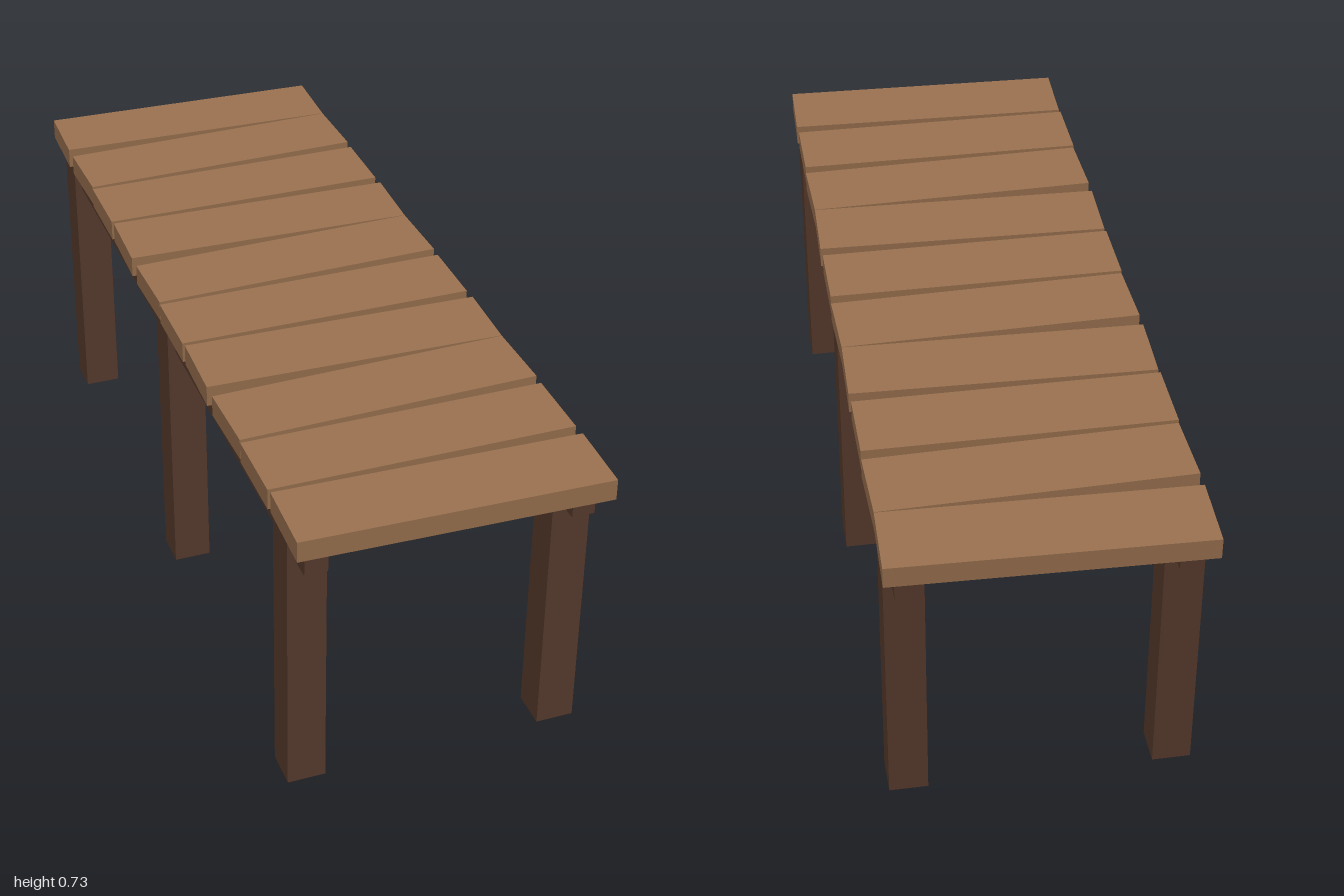
import * as THREE from 'three';

export function createModel() {
  const model = new THREE.Group();
  model.name = 'slattedBench';

  const plankWood = new THREE.MeshStandardMaterial({ color: 0x98704e });
  plankWood.name = 'light plank wood';
  const frameWood = new THREE.MeshStandardMaterial({ color: 0x573a2c });
  frameWood.name = 'dark frame wood';

  const addBox = (name, material, [w, h, d], [x, y, z], turn = 0) => {
    const mesh = new THREE.Mesh(new THREE.BoxGeometry(w, h, d), material);
    mesh.name = name;
    mesh.position.set(x, y, z);
    mesh.rotation.y = turn;
    model.add(mesh);
  };

  // Ten planks, laid slightly askew in a repeating pattern
  const turns = [-0.027, 0.027, 0];
  for (let i = 0; i < 10; i++) {
    addBox(`plank${i + 1}`, plankWood, [0.7, 0.05, 0.18], [0, 0.702, -0.9 + i * 0.2], turns[i % 3]);
  }

  for (const [side, x] of [['left', 0.3], ['right', -0.3]]) {
    // Long rail under the planks, running through the legs
    addBox(`${side}Rail`, frameWood, [0.052, 0.058, 1.9], [x, 0.642, 0]);

    // Three square legs per side
    for (const [place, z] of [['Front', 0.85], ['Middle', 0], ['Back', -0.85]]) {
      addBox(`${side}${place}Leg`, frameWood, [0.088, 0.677, 0.088], [x, 0.3385, z]);
    }
  }

  return model;
}
